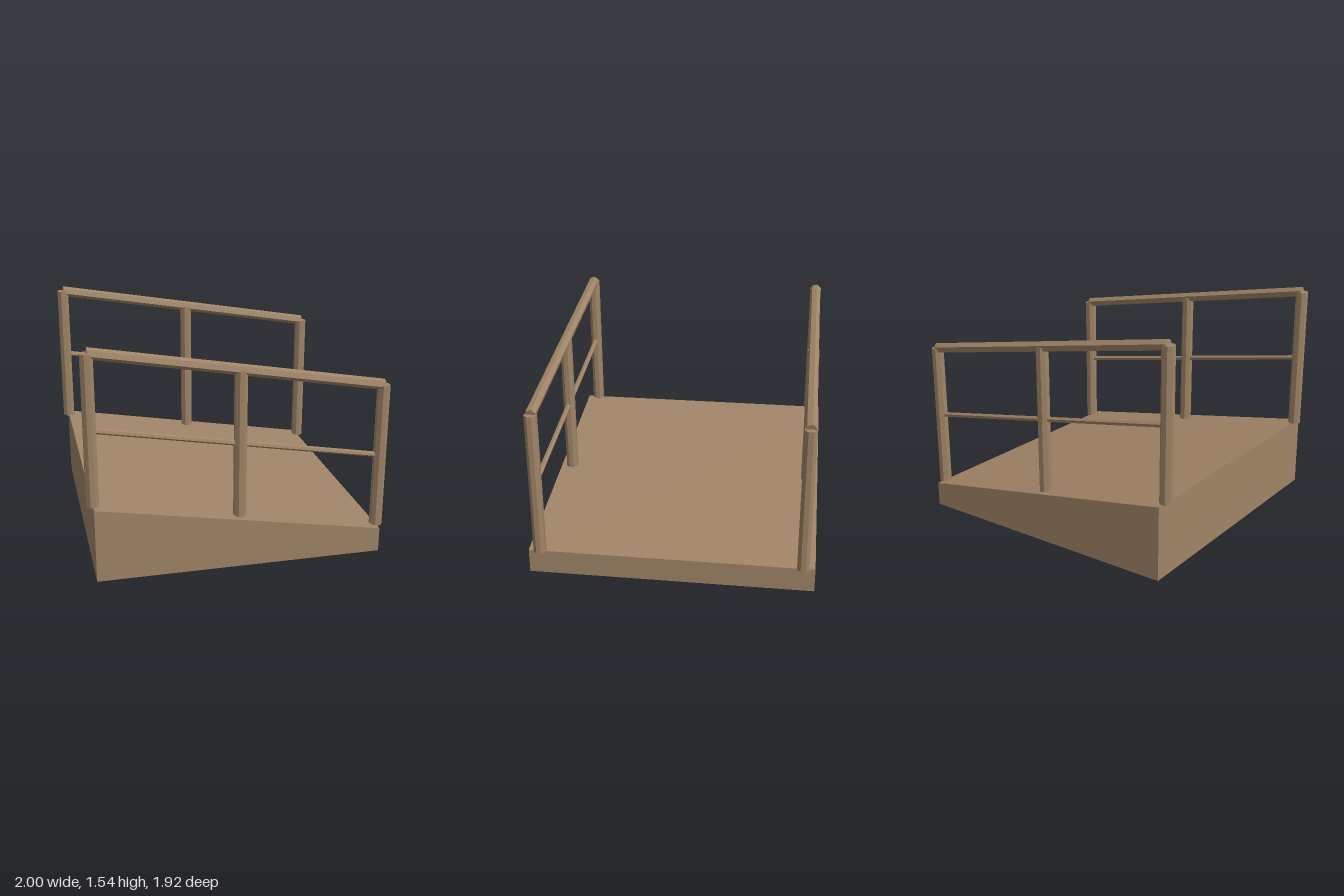
import * as THREE from 'three';

export function createModel() {
  const wood = new THREE.MeshStandardMaterial({ color: 0xa08466 });
  wood.name = 'brown wood';
  wood.flatShading = true;

  const HALF = 0.96, HIGH = 0.5, LOW = 0.167, RAIL_Z = 0.88;
  const deckY = (x) => THREE.MathUtils.mapLinear(x, -HALF, HALF, HIGH, LOW);
  const slope = Math.atan2(HIGH - LOW, 2 * HALF);

  const model = new THREE.Group();
  model.name = 'rampWithRailings';
  const add = (parent, name, geometry) => {
    const mesh = new THREE.Mesh(geometry, wood);
    mesh.name = name;
    parent.add(mesh);
    return mesh;
  };

  // Solid wedge that falls towards +x
  const profile = new THREE.Shape();
  profile.moveTo(-HALF, 0);
  profile.lineTo(HALF, 0);
  profile.lineTo(HALF, LOW);
  profile.lineTo(-HALF, HIGH);
  profile.closePath();
  const wedge = new THREE.ExtrudeGeometry(profile, { depth: 2 * HALF, bevelEnabled: false });
  add(model, 'ramp', wedge.translate(0, 0, -HALF));

  // Octagonal post with flats facing the axes
  const postGeometry = new THREE.CylinderGeometry(0.0433, 0.0433, 1, 8);
  postGeometry.rotateY(Math.PI / 8);

  // Six-sided bar parallel to the ramp surface
  const barGeometry = (radius) => {
    const length = (2 * HALF) / Math.cos(slope);
    const geometry = new THREE.CylinderGeometry(
      radius, radius, length, 6, 1, false, THREE.MathUtils.degToRad(16));
    return geometry.rotateZ(-(Math.PI / 2 + slope));
  };
  const handrailGeometry = barGeometry(0.037);
  const midRailGeometry = barGeometry(0.0185);

  // One railing along each side
  for (const side of [-1, 1]) {
    const railing = new THREE.Group();
    railing.name = side > 0 ? 'frontRailing' : 'backRailing';
    railing.position.z = side * RAIL_Z;
    for (const x of [-HALF, 0, HALF]) {
      add(railing, 'post', postGeometry).position.set(x, deckY(x) + 0.5, 0);
    }
    add(railing, 'handrail', handrailGeometry).position.y = deckY(0) + 1;
    add(railing, 'midRail', midRailGeometry).position.y = deckY(0) + 0.507;
    model.add(railing);
  }
  return model;
}
